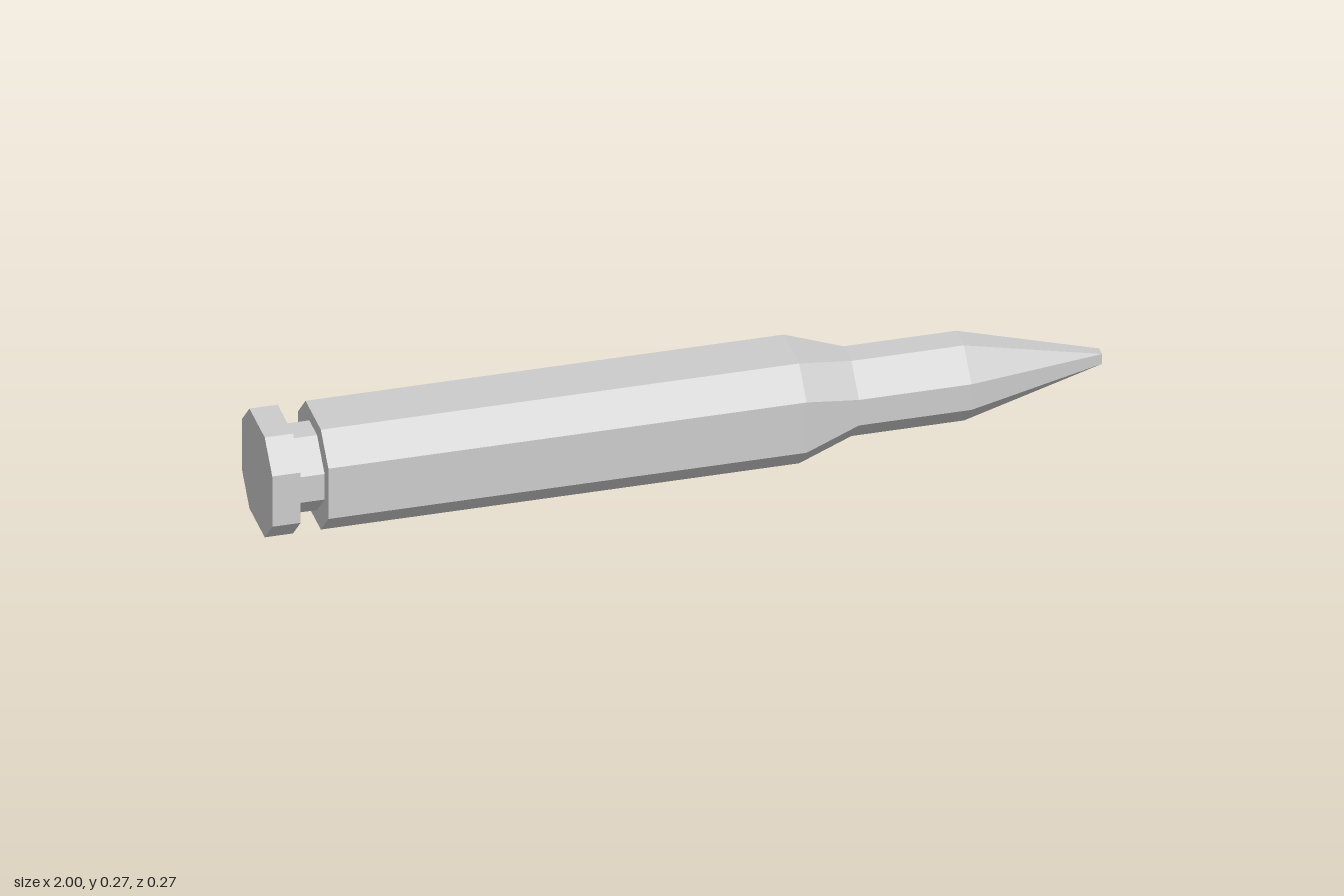
import * as THREE from 'three';

const AXIS_Y = 0.133;

// Chamfered square in the plane at x: half = half width, flat = half length of each flat side
function ring([x, half, flat]) {
  const corners = [[half, -flat], [half, flat], [flat, half], [-flat, half],
    [-half, flat], [-half, -flat], [-flat, -half], [flat, -half]];
  return corners.map(([y, z]) => new THREE.Vector3(x, y, z));
}

// Skin a run of sections along +x; a zero-size section closes an end
function loft(sections) {
  const pos = [];
  const tri = new THREE.Triangle();
  const add = (a, b, c) => {
    if (tri.set(a, b, c).getArea() > 1e-8) pos.push(...a, ...b, ...c);
  };
  const rings = sections.map(ring);
  for (let s = 0; s < rings.length - 1; s++) {
    const a = rings[s], b = rings[s + 1];
    for (let i = 0; i < 8; i++) {
      const j = (i + 1) % 8;
      add(a[i], a[j], b[j]);
      add(a[i], b[j], b[i]);
    }
  }
  const geo = new THREE.BufferGeometry();
  geo.setAttribute('position', new THREE.Float32BufferAttribute(pos, 3));
  geo.computeVertexNormals();
  return geo;
}

export function createModel() {
  const model = new THREE.Group();
  model.name = 'cartridge';
  const material = new THREE.MeshStandardMaterial({ color: 0xcccccc, flatShading: true });

  const wide = [0.133, 0.067];
  const narrow = [0.1, 0.034];
  const parts = {
    // Closed base disc and its step down to the groove
    rim: [[-1, 0, 0], [-1, ...wide], [-0.933, ...wide], [-0.933, ...narrow]],
    // Recess and its step up to the case
    extractorGroove: [[-0.933, ...narrow], [-0.867, ...narrow], [-0.867, ...wide]],
    caseBody: [[-0.867, ...wide], [0.267, ...wide]],
    shoulder: [[0.267, ...wide], [0.4, ...narrow]],
    neck: [[0.4, ...narrow], [0.667, ...narrow]],
    // Taper to a small square tip
    bulletTip: [[0.667, ...narrow], [1, 0.013, 0.013], [1, 0, 0]],
  };

  for (const [name, sections] of Object.entries(parts)) {
    const mesh = new THREE.Mesh(loft(sections), material);
    mesh.name = name;
    mesh.position.y = AXIS_Y;
    model.add(mesh);
  }
  return model;
}
